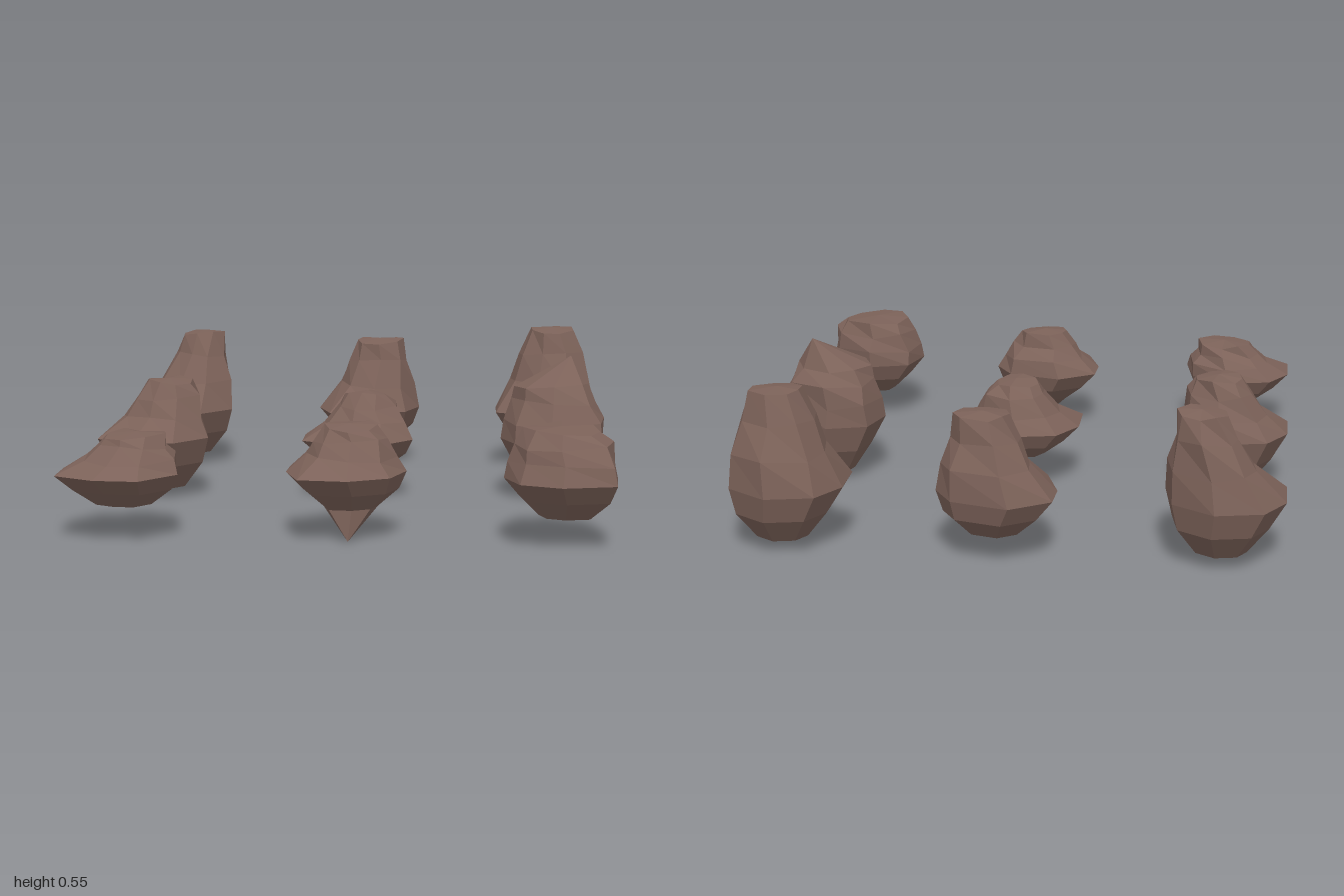
import * as THREE from 'three';

const stone = new THREE.MeshStandardMaterial({ color: 0x7c6259, flatShading: true });

// Three rim outlines [x, z], reused across the rocks
const WIDE = [[.03, -.205], [.17, -.11], [.2, .06], [.09, .2], [-.06, .19], [-.2, .11], [-.2, -.05], [-.13, -.17]];
const SKEWED = [[-.06, -.207], [.135, -.15], [.2, -.04], [.15, .11], [.015, .18], [-.15, .16], [-.2, 0], [-.195, -.115]];
const BLUNT = [[0, -.19], [.15, -.11], [.185, .01], [.175, .15], [0, .192], [-.135, .135], [-.185, 0], [-.145, -.145]];

// x, z: place; top: plateau offset; bulge: higher means steeper flanks
const ROCKS = [
  { name: 'backLeftRock', rim: WIDE, x: -.73, z: -.77, top: [.08, -.06], r: .08, h: .52, base: .02, bulge: .9 },
  { name: 'backMiddleRock', rim: SKEWED, x: .02, z: -.79, top: [.04, -.04], r: .09, h: .49, base: .07, bulge: .85 },
  { name: 'backRightRock', rim: WIDE, x: .73, z: -.79, top: [.02, -.01], r: .09, h: .54, base: .02, bulge: 1.15 },
  { name: 'middleLeftRock', rim: WIDE, x: -.73, z: -.03, top: [.05, -.03], r: .09, h: .42, base: .01, bulge: .9 },
  { name: 'centreRock', rim: WIDE, x: .02, z: -.03, top: [.03, -.03], r: .08, h: .38, base: .1, bulge: .85 },
  { name: 'middleRightRock', rim: BLUNT, x: .725, z: -.03, top: [0, -.01], r: .13, h: .42, base: 0, bulge: 2.2, peak: [.07, .1, -.04] },
  { name: 'frontLeftRock', rim: WIDE, x: -.73, z: .75, top: [.05, -.03], r: .1, h: .34, base: .1, bulge: .9 },
  { name: 'frontMiddleRock', rim: SKEWED, x: .02, z: .73, top: [.01, -.03], r: .09, h: .37, base: .09, bulge: .9, foot: [.01, -.09, .07] },
  { name: 'frontRightRock', rim: BLUNT, x: .725, z: .8, top: [0, -.01], r: .13, h: .38, base: .08, bulge: 2 },
];
const RIM_Y = 0.22;

// Small repeatable unevenness
const wobble = (i, j) => Math.sin(i * 5.1 + j * 3.7) * 0.008;

// Stacked cross-sections from the underside up to the top plateau
function crossSections({ rim, top, r, h, base, bulge }, seed) {
  // The underside tucks in below the overhanging rim
  const below = [[0.45, 0.1], [0.8, 0.55]].map(([scale, t]) => rim.map(([x, z]) =>
    new THREE.Vector3(x * scale + 0.015, base + (RIM_Y - base) * t, z * scale - 0.015)));
  const above = [0, 0.36, 0.72, 1].map((t, j) => rim.map(([x, z], i) => {
    const a = Math.atan2(z, x);
    // Flanks spread toward the -x, +z corner and stay full on the other side
    const spread = (Math.sin(a) - Math.cos(a)) * 0.7;
    const k = t ** (bulge * Math.exp(-0.5 * spread));
    const w = j ? wobble(i + seed, j) : 0;
    return new THREE.Vector3(
      THREE.MathUtils.lerp(x, top[0] + Math.cos(a) * r, k) + w,
      RIM_Y + (h - RIM_Y) * t + w,
      THREE.MathUtils.lerp(z, top[1] + Math.sin(a) * r, k) - w);
  }));
  return [...below, ...above];
}

// Skins the cross-sections and closes them with a foot and a crown point
function rockGeometry(rock, seed) {
  const { rim, top, h, base, peak = [0, .01, 0], foot = [.015, 0, -.015] } = rock;
  const rings = crossSections(rock, seed);
  const n = rim.length;
  const last = (rings.length - 1) * n;
  const bottom = rings.length * n;
  const crown = bottom + 1;
  const points = [
    ...rings.flat(),
    new THREE.Vector3(foot[0], base + foot[1], foot[2]),
    new THREE.Vector3(top[0] + peak[0], h + peak[1], top[1] + peak[2]),
  ];
  const index = [];
  for (let i = 0; i < n; i++) {
    const k = (i + 1) % n;
    for (let j = 0; j < last; j += n) index.push(j + i, j + n + i, j + n + k, j + i, j + n + k, j + k);
    index.push(i, k, bottom, last + k, last + i, crown);
  }
  const geometry = new THREE.BufferGeometry().setFromPoints(points);
  geometry.setIndex(index);
  const flat = geometry.toNonIndexed();
  flat.computeVertexNormals();
  return flat;
}

export function createModel() {
  const model = new THREE.Group();
  model.name = 'rocks';
  ROCKS.forEach((rock, seed) => {
    const mesh = new THREE.Mesh(rockGeometry(rock, seed), stone);
    mesh.name = rock.name;
    mesh.position.set(rock.x, 0, rock.z);
    model.add(mesh);
  });
  return model;
}
